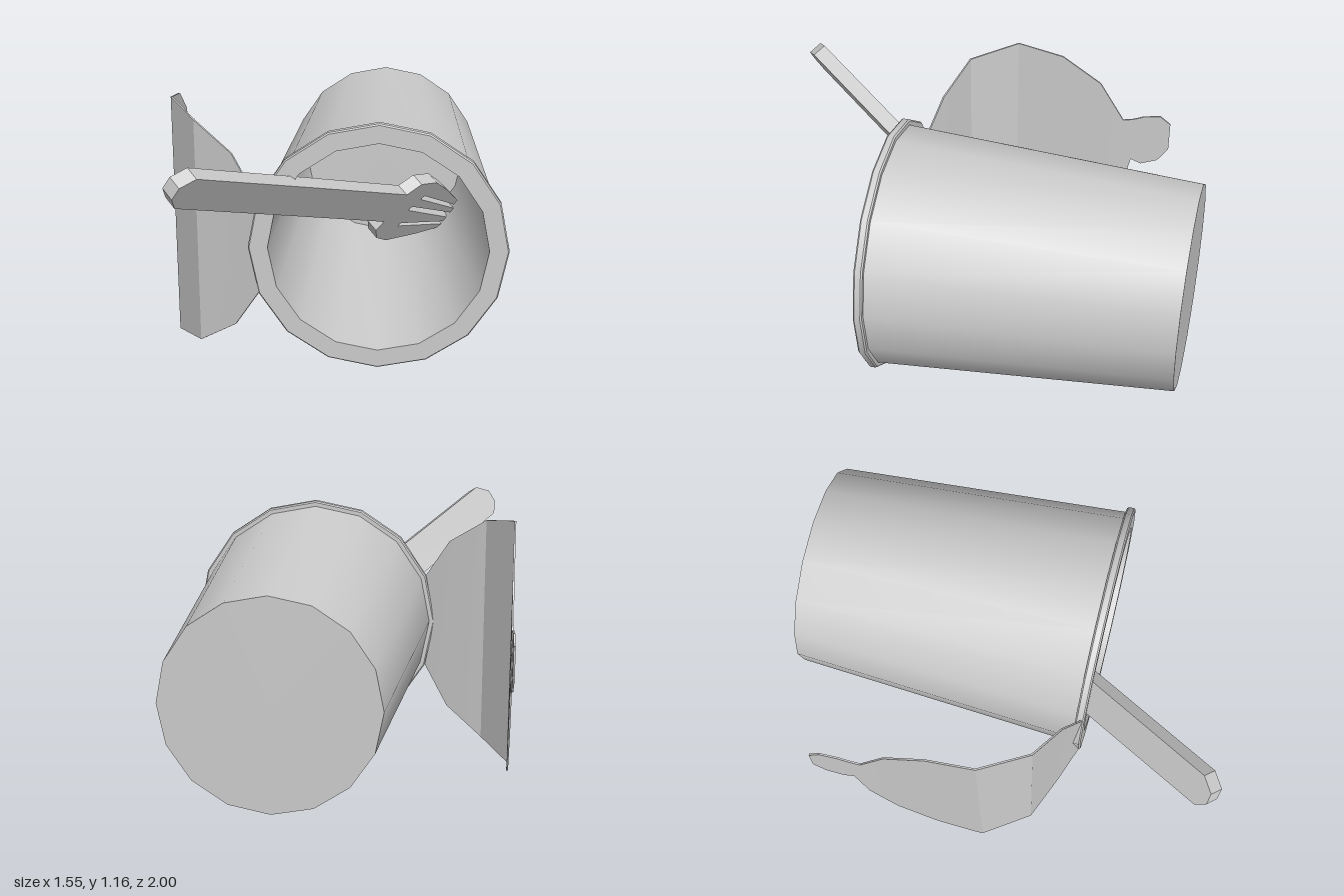
import * as THREE from 'three';
import { toCreasedNormals } from 'three/addons/utils/BufferGeometryUtils.js';

const grey = new THREE.MeshStandardMaterial({ color: 0xcccccc });
const greyDouble = new THREE.MeshStandardMaterial({ color: 0xcccccc, side: THREE.DoubleSide });

function addMesh(group, name, geometry, material = grey) {
  const mesh = new THREE.Mesh(geometry, material);
  mesh.name = name;
  group.add(mesh);
  return mesh;
}

// 16-sided tapered cup with a lip and a hollow inside, lying along z
function cupGeometry() {
  const profile = [
    [0, -1], [0.465, -1], [0.553, 0.335], [0.572, 0.335], [0.578, 0.342], [0.578, 0.368],
    [0.572, 0.375], [0.49, 0.375], [0.405, -0.93], [0, -0.93],
  ].map(([r, h]) => new THREE.Vector2(r, h));
  const geometry = new THREE.LatheGeometry(profile, 16);
  geometry.rotateX(Math.PI / 2);
  return toCreasedNormals(geometry, 0.6);
}

// Thin peeled-back disc: each station is x, z, lowest y, highest y
function lidGeometry() {
  const thickness = 0.008;
  const stations = [
    [-0.334, 0.367, 0.36, 0.80], [-0.45, 0.30, 0.17, 0.99], [-0.625, 0.21, 0.046, 1.114],
    [-0.757, 0, 0.002, 1.158], [-0.758, -0.22, 0.046, 1.114], [-0.76, -0.41, 0.17, 0.99],
    [-0.763, -0.53, 0.36, 0.80],
    // pull tab
    [-0.765, -0.58, 0.58, 0.81], [-0.767, -0.63, 0.56, 0.83],
    [-0.771, -0.71, 0.59, 0.84], [-0.775, -0.76, 0.66, 0.80],
  ];
  const positions = [];
  const index = [];
  stations.forEach(([x, z, low, high], i) => {
    const a = stations[Math.max(i - 1, 0)];
    const b = stations[Math.min(i + 1, stations.length - 1)];
    const n = new THREE.Vector2(a[1] - b[1], b[0] - a[0]).normalize().multiplyScalar(thickness);
    positions.push(x, low, z, x, high, z, x + n.x, high, z + n.y, x + n.x, low, z + n.y);
    if (i === 0) return;
    const o = (i - 1) * 4;
    for (let j = 0; j < 4; j++) {
      const k = (j + 1) % 4;
      index.push(o + j, o + 4 + j, o + k, o + k, o + 4 + j, o + 4 + k);
    }
  });
  const e = (stations.length - 1) * 4;
  index.push(0, 1, 2, 0, 2, 3, e, e + 2, e + 1, e, e + 3, e + 2);
  const geometry = new THREE.BufferGeometry();
  geometry.setAttribute('position', new THREE.Float32BufferAttribute(positions, 3));
  geometry.setIndex(index);
  return toCreasedNormals(geometry, 0.5);
}

// Flat four-tined fork outline: first number runs along the handle, second across it
function forkGeometry() {
  const outline = [
    [0, -0.08], [0.8, -0.085], [1.57, -0.092],
    [1.56, -0.15], [1.62, -0.20], [1.72, -0.214], [1.95, -0.16], [2.12, -0.107], [2.12, -0.085],
    [1.72, -0.115], [1.73, -0.095], [2.14, -0.065], [2.15, -0.04],
    [1.7, -0.01], [1.71, 0.016], [2.12, -0.005], [2.11, 0.025],
    [1.73, 0.066], [1.74, 0.09], [2.08, 0.05], [2.08, 0.08],
    [1.9, 0.14], [1.75, 0.18], [1.63, 0.16], [1.575, 0.088], [0.8, 0.085],
    [0, 0.08], [-0.06, 0.025], [-0.055, -0.035],
  ].map(([u, v]) => new THREE.Vector2(u, v));
  const geometry = new THREE.ExtrudeGeometry(new THREE.Shape(outline), { depth: 0.068, bevelEnabled: false });
  return geometry.translate(0, 0, -0.068);
}

export function createModel() {
  const model = new THREE.Group();
  model.name = 'cupWithFork';

  addMesh(model, 'cup', cupGeometry()).position.set(0.2, 0.58, 0);
  addMesh(model, 'lid', lidGeometry(), greyDouble);

  // Fork reaches down into the cup, its broad face turned to the front
  const along = new THREE.Vector3(0.52, -0.32, -0.79).normalize();
  const across = new THREE.Vector3(0.59, 0.81, 0.06);
  const face = along.clone().cross(across).normalize();
  across.copy(face).cross(along);
  const fork = addMesh(model, 'fork', forkGeometry());
  fork.quaternion.setFromRotationMatrix(new THREE.Matrix4().makeBasis(along, across, face));
  fork.position.set(-0.55, 1.035, 0.955);

  return model;
}
